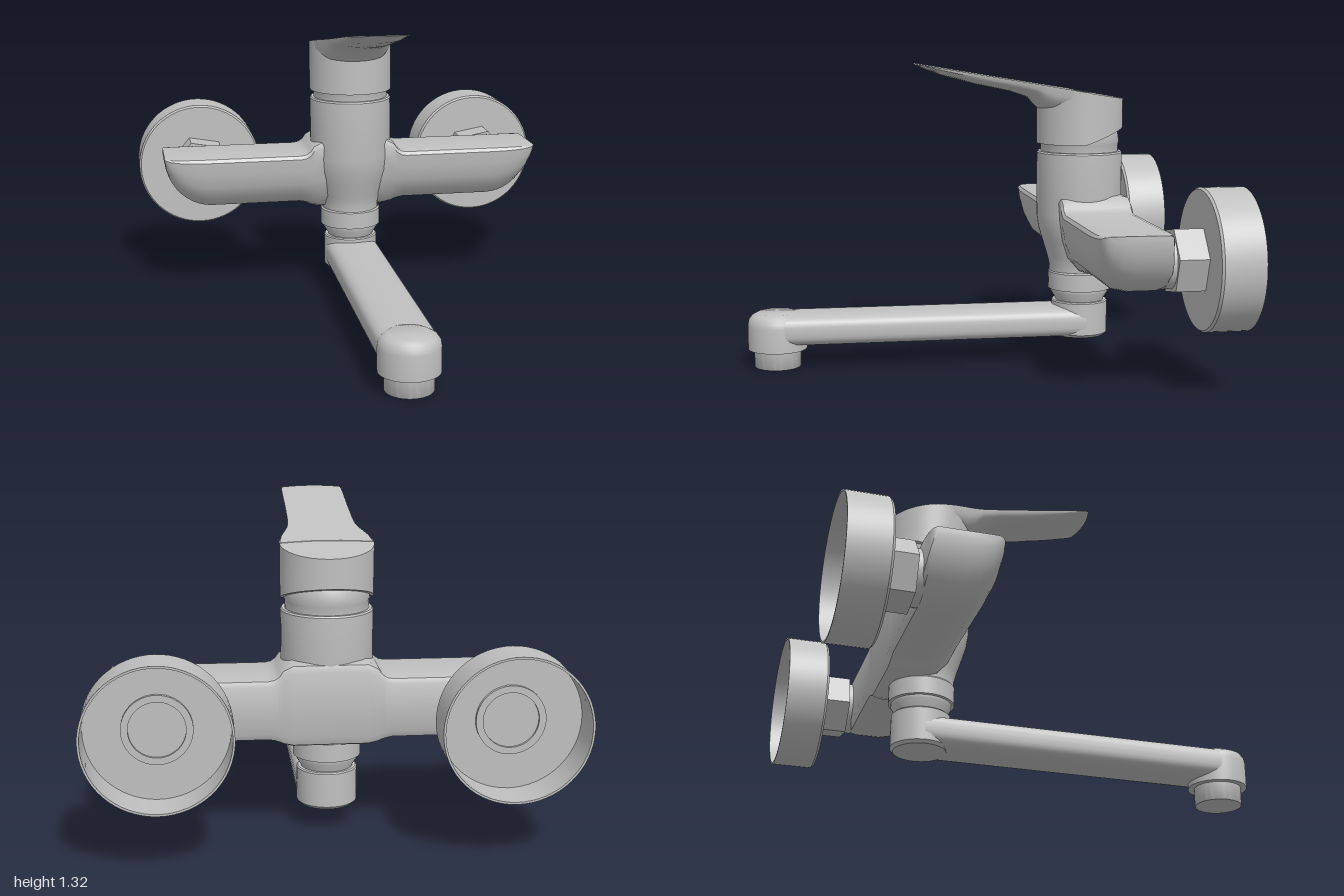
import * as THREE from 'three';
import { toCreasedNormals } from 'three/addons/utils/BufferGeometryUtils.js';

const chrome = new THREE.MeshStandardMaterial({ color: 0xc0c0c0, side: THREE.DoubleSide });
chrome.name = 'satin chrome';

const BODY_Z = -0.478; // axis of body, cartridge and handle
const OUTLET_Z = 0.87;

function part(name, geometry, parent) {
  const mesh = new THREE.Mesh(toCreasedNormals(geometry, 0.6), chrome);
  mesh.name = name;
  parent.add(mesh);
  return mesh;
}

// Revolved solid; profile runs [radius, height] from bottom to top
function lathe(profile, segments = 48) {
  return new THREE.LatheGeometry(profile.map(([r, y]) => new THREE.Vector2(r, y)), segments);
}

// Closed, capped skin over equal-sized rings of Vector3, always facing outward
function loft(rings) {
  const n = rings[0].length;
  const points = rings.flat();
  const index = [];
  for (let i = 0; i < rings.length - 1; i++) {
    for (let j = 0; j < n; j++) {
      const a = i * n + j, b = i * n + (j + 1) % n;
      index.push(a, b, b + n, a, b + n, a + n);
    }
  }
  [0, rings.length - 1].forEach((r, end) => {
    const centre = new THREE.Vector3();
    rings[r].forEach(p => centre.addScaledVector(p, 1 / n));
    points.push(centre);
    const c = points.length - 1;
    for (let j = 0; j < n; j++) {
      const a = r * n + j, b = r * n + (j + 1) % n;
      if (end) index.push(c, a, b);
      else index.push(c, b, a);
    }
  });
  let volume = 0;
  const cross = new THREE.Vector3();
  for (let i = 0; i < index.length; i += 3) {
    cross.crossVectors(points[index[i + 1]], points[index[i + 2]]);
    volume += points[index[i]].dot(cross);
  }
  if (volume < 0) index.reverse();
  const geometry = new THREE.BufferGeometry().setFromPoints(points);
  geometry.setIndex(index);
  return geometry;
}

// Horizontal bar: flat top, curved front and underside, ends sweeping up
function barGeometry() {
  const section = [[1, 0.92], [0.985, 0.7], [0.94, 0.45], [0.85, 0.22], [0.7, 0.06], [0.5, 0],
    [0.15, 0], [0.04, 0.04], [0, 0.14], [0, 0.9], [0.03, 0.98], [0.1, 1], [0.5, 1], [0.9, 1], [0.97, 0.98]];
  // [x, top, bottom, depth scale]; the inner stations flare into the body
  const half = [[0.15, 0.74, 0.39, 1], [0.19, 0.72, 0.4, 1], [0.205, 0.697, 0.408, 1],
    [0.225, 0.683, 0.415, 1], [0.25, 0.678, 0.42, 1]];
  for (let i = 0; i <= 10; i++) {
    const a = i / 10 * 1.46;
    const c = Math.cos(a);
    half.push([0.66 + 0.22 * Math.sin(a), 0.678, 0.678 - 0.258 * c, 1 - 0.25 * (1 - c) ** 2]);
  }
  const stations = [...half.map(([x, ...rest]) => [-x, ...rest]).reverse(), ...half];
  return loft(stations.map(([x, top, bottom, scale]) => section.map(([u, v]) =>
    new THREE.Vector3(x, bottom + (top - bottom) * v, -0.515 + 0.32 * (u - 0.5) * scale))));
}

const handleTop = z => 1.275 + 0.168 * z;

// Handle cap: cylinder with a sloping top and a bottom edge raised at the back
function handleCapGeometry() {
  const geometry = new THREE.CylinderGeometry(0.191, 0.191, 1, 64);
  geometry.translate(0, 0, BODY_Z);
  const p = geometry.attributes.position;
  for (let i = 0; i < p.count; i++) {
    const z = p.getZ(i);
    p.setY(i, p.getY(i) > 0 ? handleTop(z) : 0.967 + 0.36 * Math.max(0, -0.46 - z));
  }
  return geometry;
}

// Lever: flat sloping top with a rounded underside, thinning to the tip
function leverGeometry() {
  const stations = [[-0.46, 0.188, 1.08], [-0.38, 0.178, 1.09], [-0.32, 0.16, 1.1], [-0.28, 0.148, 1.125],
    [-0.24, 0.141, 1.168], [-0.16, 0.137, 1.195], [0, 0.135, 1.228], [0.15, 0.135, 1.268],
    [0.22, 0.134, 1.295], [0.25, 0.132, 1.308], [0.262, 0.128, 1.315]];
  return loft(stations.map(([z, w, bottom]) => {
    const ring = [];
    for (let i = 0; i <= 16; i++) {
      const a = i / 16 * Math.PI;
      const x = w * Math.cos(a);
      const zz = z - 0.02 * (x / w) ** 2;
      const top = handleTop(zz) + 0.002;
      ring.push(new THREE.Vector3(x, top - (handleTop(z) - bottom) * Math.max(0, Math.sin(a)) ** 0.7, zz));
    }
    for (let i = 1; i < 6; i++) {
      const x = w * (-1 + i / 3);
      const zz = z - 0.02 * (x / w) ** 2;
      ring.push(new THREE.Vector3(x, handleTop(zz) + 0.002, zz));
    }
    return ring;
  }));
}

// Spout arm: flattened rounded tube running forward
function spoutGeometry() {
  const power = v => Math.sign(v) * Math.abs(v) ** 0.62;
  return loft([-0.49, OUTLET_Z].map(z => Array.from({ length: 40 }, (_, i) => {
    const a = i / 40 * Math.PI * 2;
    return new THREE.Vector3(0.126 * power(Math.cos(a)), 0.17 + 0.07 * power(Math.sin(a)), z);
  })));
}

export function createModel() {
  const model = new THREE.Group();
  model.name = 'wallMixerTap';

  part('bar', barGeometry(), model);

  // Upright body and cartridge
  part('body', lathe([[0, 0.385], [0.13, 0.385], [0.13, 0.42], [0.14, 0.46], [0.162, 0.53], [0.18, 0.59],
    [0.189, 0.65], [0.189, 0.925], [0.184, 0.932], [0, 0.932]]), model).position.z = BODY_Z;
  part('cartridgeDome', lathe([[0, 0.92], [0.172, 0.92], [0.172, 0.965], [0.176, 0.975], [0.167, 1.035],
    [0.135, 1.08], [0, 1.1]]), model).position.z = BODY_Z;

  // Handle
  const handle = new THREE.Group();
  handle.name = 'handle';
  part('handleCap', handleCapGeometry(), handle);
  part('lever', leverGeometry(), handle);
  model.add(handle);

  // Swivel spout
  const spout = new THREE.Group();
  spout.name = 'spout';
  part('swivelNut', lathe([[0, 0.24], [0.105, 0.24], [0.108, 0.265], [0.128, 0.297], [0.128, 0.31],
    [0.14, 0.312], [0.14, 0.388], [0.134, 0.395], [0, 0.395]]), spout).position.z = -0.484;
  part('spoutElbow', lathe([[0, 0.1], [0.112, 0.1], [0.125, 0.113], [0.125, 0.255], [0.12, 0.26],
    [0, 0.26]]), spout).position.z = -0.484;
  part('spoutArm', spoutGeometry(), spout);
  part('spoutEnd', lathe([[0, 0.08], [0.129, 0.08], [0.129, 0.185], [0.125, 0.208], [0.112, 0.227],
    [0.088, 0.24], [0, 0.241]]), spout).position.z = OUTLET_Z;
  part('aerator', lathe([[0, 0], [0.1, 0], [0.102, 0.003], [0.102, 0.09], [0, 0.09]]), spout).position.z = OUTLET_Z;
  model.add(spout);

  // Wall connections on both sides
  for (const side of [-1, 1]) {
    const mount = new THREE.Group();
    mount.name = side > 0 ? 'leftWallMount' : 'rightWallMount';
    mount.position.set(side * 0.69, 0.545, 0);

    // Hollow cover, open toward the wall
    part('wallCover', lathe([[0, -0.838], [0.286, -0.838], [0.286, -1], [0.295, -1], [0.295, -0.828],
      [0.287, -0.818], [0, -0.818]], 64).rotateX(Math.PI / 2), mount);
    part('inletPipe', lathe([[0, -0.842], [0.112, -0.842], [0.112, -0.853], [0.14, -0.853], [0.14, -0.83],
      [0.115, -0.83], [0.115, -0.66], [0, -0.66]]).rotateX(Math.PI / 2), mount);
    const nut = new THREE.CylinderGeometry(0.145, 0.145, 0.135, 6).rotateY(side * 0.7).rotateX(Math.PI / 2);
    part('hexNut', nut, mount).position.z = -0.762;
    model.add(mount);
  }
  return model;
}
